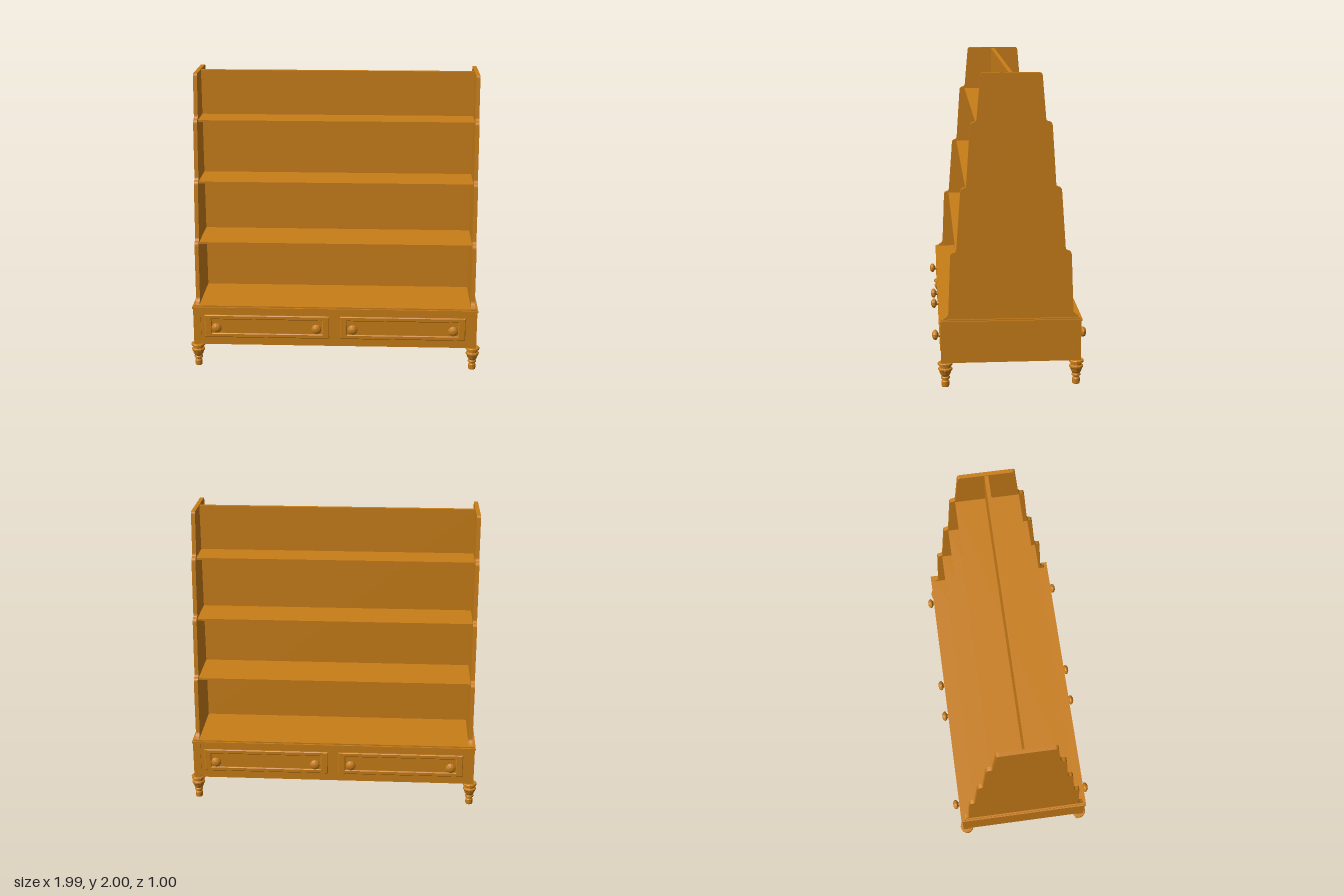
import * as THREE from 'three';

export function createModel() {
  const root = new THREE.Group();
  const wood = new THREE.MeshStandardMaterial({ color: 0xc87d18 });
  const facetedWood = new THREE.MeshStandardMaterial({ color: 0xc87d18, flatShading: true });

  const add = (name, geometry, x = 0, y = 0, z = 0, parent = root, material = wood) => {
    const mesh = new THREE.Mesh(geometry, material);
    mesh.name = name;
    mesh.position.set(x, y, z);
    parent.add(mesh);
    return mesh;
  };
  // Box given by its full width and depth and its bottom and top heights
  const slab = (name, w, d, y0, y1, x = 0, z = 0, parent = root) =>
    add(name, new THREE.BoxGeometry(w, y1 - y0, d), x, (y0 + y1) / 2, z, parent);
  const lathe = (points, sides) =>
    new THREE.LatheGeometry(points.map(([r, y]) => new THREE.Vector2(r, y)), sides);

  // Base chest: carcass, corner posts and top moulding
  slab('baseCarcass', 1.932, 0.88, 0.16, 0.425);
  slab('baseTopMoulding', 1.95, 0.908, 0.424, 0.436);
  slab('baseTop', 1.93, 0.885, 0.43, 0.445);

  // Turned feet, one beneath each corner post
  const footGeometry = lathe([
    [0, 0], [0.023, 0], [0.025, 0.006], [0.025, 0.035], [0.02, 0.042], [0.02, 0.05],
    [0.029, 0.055], [0.029, 0.064], [0.024, 0.07], [0.033, 0.085], [0.04, 0.105],
    [0.045, 0.112], [0.045, 0.122], [0.035, 0.128], [0.036, 0.142], [0.048, 0.147],
    [0.048, 0.157], [0.044, 0.161], [0, 0.161]], 12);
  for (const sx of [-1, 1]) for (const sz of [-1, 1]) {
    slab('cornerPost', 0.05, 0.05, 0.16, 0.425, sx * 0.945, sz * 0.422);
    add('foot', footGeometry, sx * 0.947, 0, sz * 0.42, root, facetedWood);
  }

  // Drawer front: raised bevelled frame around a recessed panel
  const rectangle = (T, w, h) => {
    const r = new T();
    r.moveTo(-w / 2, -h / 2);
    r.lineTo(w / 2, -h / 2);
    r.lineTo(w / 2, h / 2);
    r.lineTo(-w / 2, h / 2);
    r.closePath();
    return r;
  };
  const frameShape = rectangle(THREE.Shape, 0.846, 0.152);
  frameShape.holes.push(rectangle(THREE.Path, 0.77, 0.112));
  const frameGeometry = new THREE.ExtrudeGeometry(frameShape, {
    depth: 0.008, bevelEnabled: true, bevelSize: 0.005, bevelThickness: 0.004, bevelSegments: 1 });
  const knobGeometry = lathe([
    [0.016, 0], [0.013, 0.018], [0.02, 0.022], [0.034, 0.031], [0.035, 0.04],
    [0.028, 0.051], [0.014, 0.057], [0, 0.058]], 10).rotateX(Math.PI / 2);

  // Two drawers on the front and two on the back
  for (const face of [0, 1]) {
    const side = new THREE.Group();
    side.name = face ? 'backDrawers' : 'frontDrawers';
    side.rotation.y = face * Math.PI;
    root.add(side);
    for (const sx of [-1, 1]) {
      add('drawerFrame', frameGeometry, sx * 0.465, 0.297, 0.439, side);
      slab('drawerPanel', 0.75, 0.01, 0.247, 0.347, sx * 0.465, 0.439, side);
      for (const x of [0.123, 0.808])
        add('drawerKnob', knobGeometry, sx * x, 0.297, 0.442, side, facetedWood);
    }
  }

  // Stepped end panels; each tier is [bottom z, bottom y, shoulder z, shoulder y]
  const tiers = [
    [0.397, 0.485, 0.382, 0.855],
    [0.343, 0.9, 0.316, 1.265],
    [0.279, 1.31, 0.254, 1.675],
    [0.213, 1.72, 0.19, 1.98]];
  const outline = new THREE.Path();
  outline.moveTo(0.432, 0.44);
  outline.lineTo(0.426, 0.453);
  outline.quadraticCurveTo(0.4, 0.465, tiers[0][0], tiers[0][1]);
  tiers.forEach(([, , z, y], i) => {
    outline.lineTo(z, y);
    const next = tiers[i + 1];
    if (next) {
      const mid = (z + next[0]) / 2;
      outline.quadraticCurveTo(z - 0.002, y + 0.021, mid, y + 0.024);
      outline.quadraticCurveTo(next[0] + 0.002, y + 0.027, next[0], next[1]);
    } else {
      outline.quadraticCurveTo(z - 0.001, 2, z - 0.018, 2);
    }
  });
  const half = outline.getPoints(5);
  const mirrored = half.map(p => new THREE.Vector2(-p.x, p.y)).reverse();
  const endGeometry = new THREE.ExtrudeGeometry(
    new THREE.Shape([...half, ...mirrored]), { depth: 0.027, bevelEnabled: false });
  endGeometry.translate(0, 0, -0.0135).rotateY(-Math.PI / 2);
  add('leftEndPanel', endGeometry, 0.941);
  add('rightEndPanel', endGeometry, -0.941);

  // Central divider and the shelves that narrow upwards
  slab('centreDivider', 1.86, 0.026, 0.44, 1.995);
  for (const [y, z] of [[0.87, 0.347], [1.28, 0.282], [1.69, 0.217]])
    slab('shelf', 1.86, z * 2, y - 0.014, y);

  return root;
}
